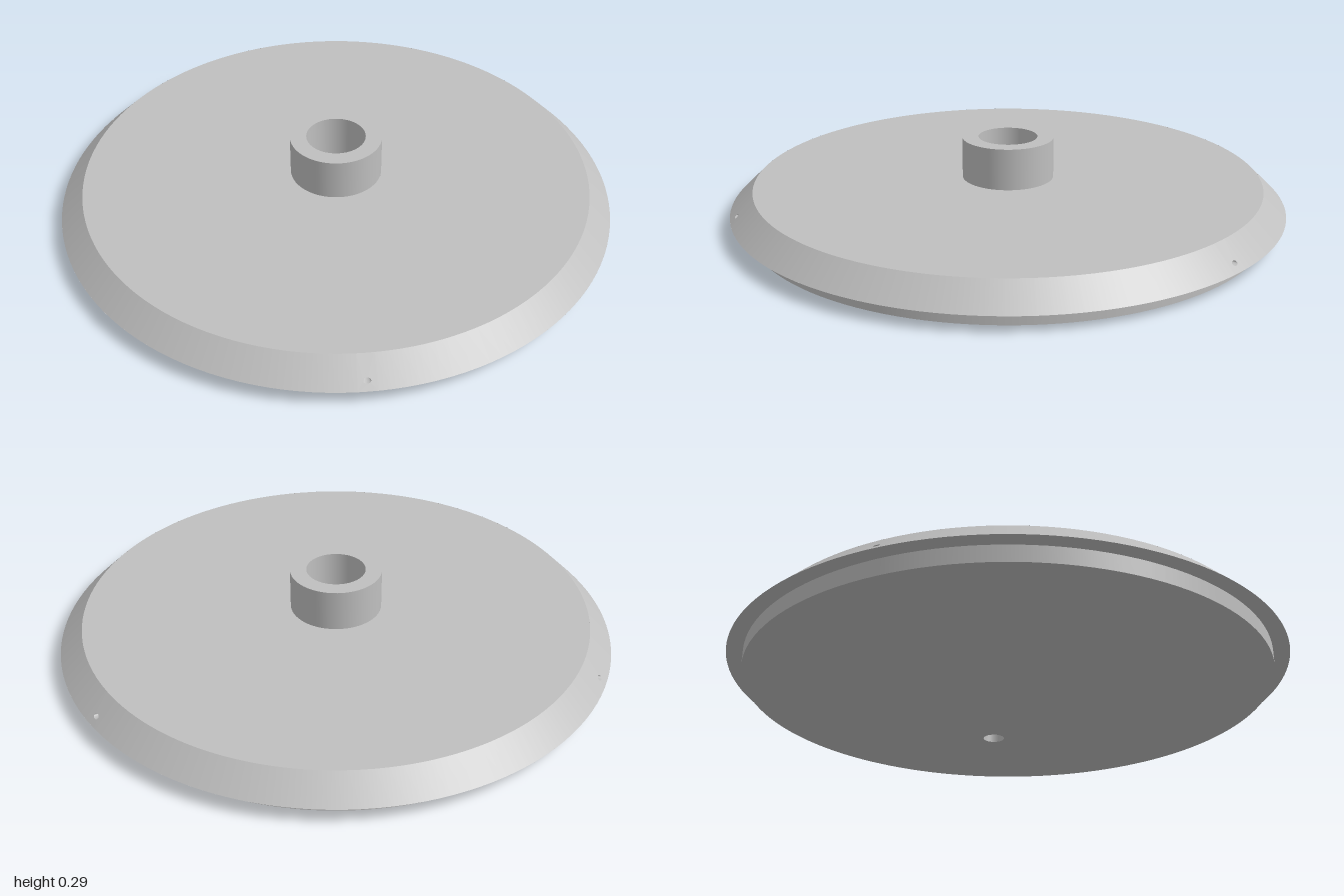
import * as THREE from 'three';

const BASE_R = 0.943, RIM_R = 1, TOP_R = 0.917, HUB_R = 0.166, BORE_R = 0.107;
const RIM_Y = 0.057, TOP_Y = 0.137, HUB_Y = 0.287, FLOOR_Y = 0.07;
const SLANT = Math.hypot(RIM_R - TOP_R, TOP_Y - RIM_Y);
const PATCH = 0.03; // half width of the bevel patch round each pin hole

export function createModel() {
  const group = new THREE.Group();
  const grey = new THREE.MeshStandardMaterial({ color: 0xbfbfbf, side: THREE.DoubleSide });

  function add(name, geometry) {
    const mesh = new THREE.Mesh(geometry, grey);
    mesh.name = name;
    group.add(mesh);
    return mesh;
  }

  // One straight profile step turned round y, so edges stay sharp
  function band(name, r0, y0, r1, y1, segments = 128, start = 0, length = Math.PI * 2) {
    const points = [new THREE.Vector2(r0, y0), new THREE.Vector2(r1, y1)];
    return add(name, new THREE.LatheGeometry(points, segments, start, length));
  }

  // Disc, flange and hub
  band('baseWall', BASE_R, 0, BASE_R, RIM_Y);
  band('flangeUnderside', BASE_R, RIM_Y, RIM_R, RIM_Y);
  band('plateTop', TOP_R, TOP_Y, HUB_R, TOP_Y);
  band('hubWall', HUB_R, TOP_Y, HUB_R, HUB_Y, 64);
  band('hubTop', HUB_R, HUB_Y, BORE_R, HUB_Y, 64);
  band('boreWall', BORE_R, HUB_Y, BORE_R, FLOOR_Y, 64);

  // Underside with the outlet hole
  const under = new THREE.Shape().absarc(0, 0, BASE_R, 0, Math.PI * 2);
  const outletX = 0.47, outletR = 0.041;
  under.holes.push(new THREE.Path().absarc(outletX, 0, outletR, 0, Math.PI * 2, true));
  add('underside', new THREE.ShapeGeometry(under, 64).rotateX(Math.PI / 2));
  const outlet = add('outletWall',
    new THREE.CylinderGeometry(outletR, outletR, FLOOR_Y, 32, 1, true));
  outlet.position.set(outletX, FLOOR_Y / 2, 0);
  const outletEnd = add('outletEnd', new THREE.CircleGeometry(outletR, 32).rotateX(Math.PI / 2));
  outletEnd.position.set(outletX, FLOOR_Y, 0);

  // Bore floor with a round-ended slot running to the wall on +x
  const slotR = 0.028;
  const a = Math.asin(slotR / BORE_R);
  const floor = new THREE.Shape();
  floor.absarc(0, 0, BORE_R, a, Math.PI * 2 - a);
  floor.lineTo(0, -slotR);
  floor.absarc(0, 0, slotR, -Math.PI / 2, -Math.PI * 1.5, true);
  floor.closePath();
  const boreFloor = add('boreFloor', new THREE.ShapeGeometry(floor, 32).rotateX(-Math.PI / 2));
  boreFloor.position.y = FLOOR_Y;

  // Half-round channel from the bore towards the outlet
  const channelLength = outletX - outletR;
  const channel = new THREE.CylinderGeometry(slotR, slotR, channelLength, 16, 1, true,
    Math.PI / 2, Math.PI);
  channel.rotateZ(Math.PI / 2);
  const lowest = Math.min(...Array.from(channel.attributes.position.array).filter((v, i) => i % 3 === 1));
  if (lowest > -slotR / 2) channel.rotateX(Math.PI);
  add('channel', channel).position.set(channelLength / 2, FLOOR_Y, 0);
  const end = new THREE.SphereGeometry(slotR, 24, 8, 0, Math.PI * 2, Math.PI / 2, Math.PI / 2);
  const p = end.attributes.position;
  for (let i = 0; i < p.count; i++) p.setX(i, Math.min(p.getX(i), 0));
  add('channelEnd', end).position.y = FLOOR_Y;

  // Bevel in three arcs, each joined by a patch with a small pin hole
  const third = Math.PI * 2 / 3;
  const holeV = 0.033;
  function wrap(geometry, centre) { // x round the rim, y up the slope, z depth inwards
    const pos = geometry.attributes.position;
    for (let i = 0; i < pos.count; i++) {
      const t = pos.getY(i) / SLANT;
      const phi = centre + pos.getX(i);
      const r = RIM_R + (TOP_R - RIM_R) * t - pos.getZ(i);
      pos.setXYZ(i, r * Math.sin(phi), RIM_Y + (TOP_Y - RIM_Y) * t, r * Math.cos(phi));
    }
    geometry.computeVertexNormals();
    return geometry;
  }
  for (let k = 0; k < 3; k++) {
    const centre = k * third;
    band('bevel', RIM_R, RIM_Y, TOP_R, TOP_Y, 44, centre + PATCH, third - 2 * PATCH);

    const patch = new THREE.Shape();
    patch.moveTo(-PATCH, 0).lineTo(PATCH, 0).lineTo(PATCH, SLANT).lineTo(-PATCH, SLANT);
    patch.holes.push(new THREE.Path().absellipse(0, holeV, 0.013, 0.009, 0, Math.PI * 2, true));
    add('bevelPatch', wrap(new THREE.ShapeGeometry(patch, 12), centre));

    const pinHole = new THREE.ConeGeometry(1, 0.05, 24, 1, true);
    pinHole.rotateX(Math.PI / 2).translate(0, 0, 0.025).scale(0.013, 0.009, 1);
    pinHole.translate(0, holeV, 0);
    add('pinHole', wrap(pinHole, centre));
  }
  return group;
}
